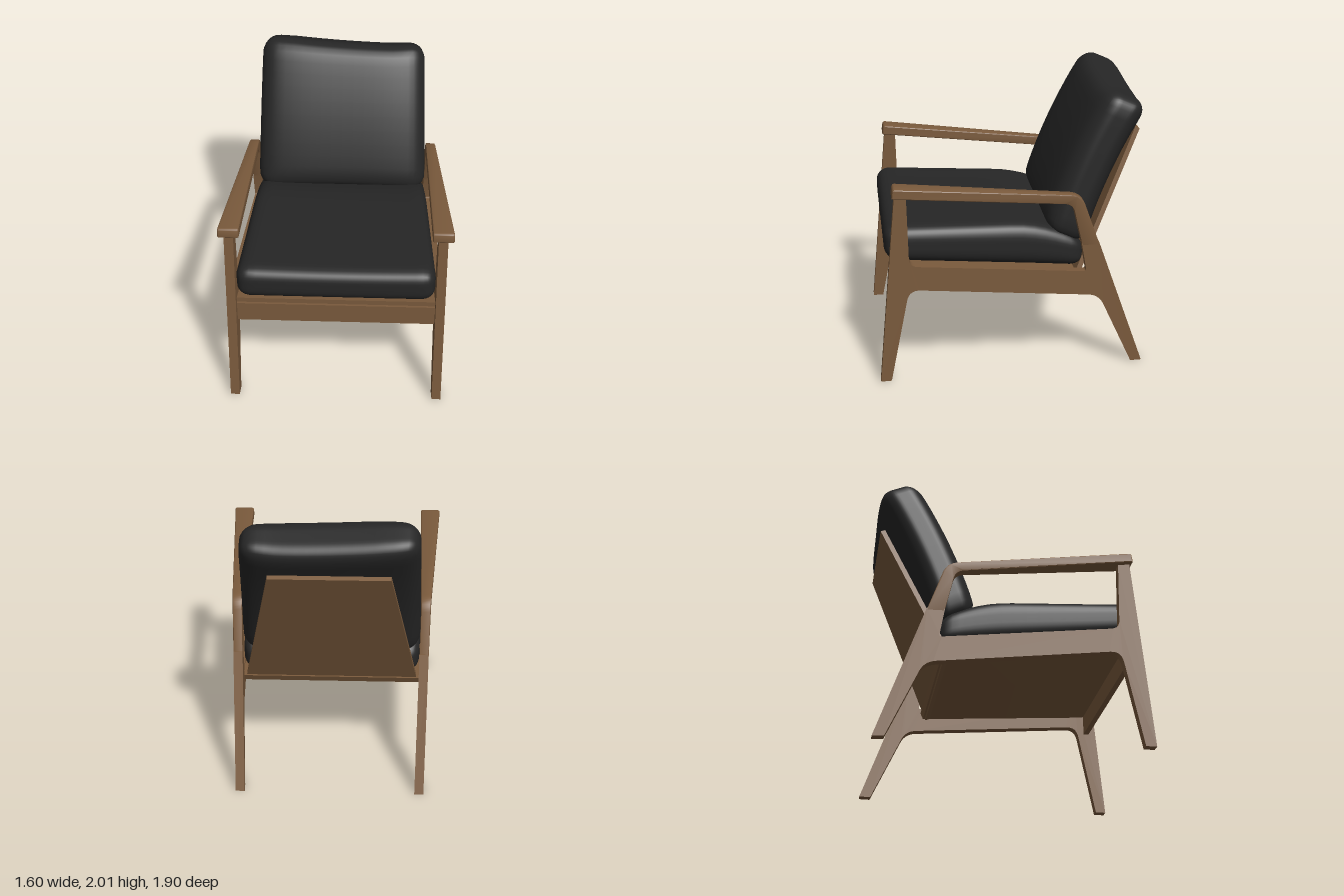
import * as THREE from 'three';
import { mergeVertices, toCreasedNormals } from 'three/addons/utils/BufferGeometryUtils.js';

const { clamp, lerp } = THREE.MathUtils;

// Side frames converge towards the back: centre line of the frame at depth z
const frameX = (z) => 0.685 + 0.051 * z;
const HALF = 0.0325;

// Closed shape from [z, y, cornerRadius] points
function roundedShape(points) {
  const shape = new THREE.Shape();
  const n = points.length;
  points.forEach(([z, y, r = 0], i) => {
    const p = new THREE.Vector2(z, y);
    const prev = points[(i + n - 1) % n], next = points[(i + 1) % n];
    const toward = (q) => new THREE.Vector2(q[0], q[1]).sub(p).setLength(r).add(p);
    const a = r ? toward(prev) : p, b = r ? toward(next) : p;
    if (i === 0) shape.moveTo(a.x, a.y); else shape.lineTo(a.x, a.y);
    if (r) shape.quadraticCurveTo(p.x, p.y, b.x, b.y);
  });
  shape.closePath();
  return shape;
}

// Side profile spread across x, with centre and half width given by depth z
function sweepAcross(points, centre, half, bevel = 0) {
  const geo = new THREE.ExtrudeGeometry(roundedShape(points), {
    depth: 1 - 0.2 * (bevel > 0), steps: 1, curveSegments: 8,
    bevelEnabled: bevel > 0, bevelSize: bevel, bevelOffset: -bevel, bevelThickness: 0.1, bevelSegments: 2,
  });
  if (bevel > 0) geo.translate(0, 0, 0.1);
  const pos = geo.attributes.position;
  for (let i = 0; i < pos.count; i++) {
    const z = pos.getX(i), y = pos.getY(i), t = pos.getZ(i);
    pos.setXYZ(i, centre(z) - (2 * t - 1) * half(z), y, z);
  }
  return toCreasedNormals(geo, 0.6);
}

// Soft rounded block, then bent by a rule working on the point p and its -1..1 position
function cushion(hx, hy, hz, r, bend) {
  const geo = new THREE.BoxGeometry(2, 2, 2, 24, 16, 24);
  geo.deleteAttribute('uv');
  geo.deleteAttribute('normal');
  const merged = mergeVertices(geo, 1e-4);
  const pos = merged.attributes.position;
  const h = new THREE.Vector3(hx, hy, hz);
  const inner = h.clone().subScalar(r);
  const p = new THREE.Vector3(), core = new THREE.Vector3();
  for (let i = 0; i < pos.count; i++) {
    p.fromBufferAttribute(pos, i);
    p.set(...p.toArray().map((v) => Math.sin(v * Math.PI / 2))).multiply(h);
    core.copy(p).clamp(inner.clone().negate(), inner);
    p.sub(core).setLength(r).add(core);
    bend(p, p.clone().divide(h));
    pos.setXYZ(i, p.x, p.y, p.z);
  }
  merged.computeVertexNormals();
  return merged;
}

export function createModel() {
  const group = new THREE.Group();
  const wood = new THREE.MeshStandardMaterial({ color: 0x7a5a3c });
  wood.name = 'walnut wood';
  const fabric = new THREE.MeshStandardMaterial({ color: 0x262626 });
  fabric.name = 'black fabric';
  const add = (name, geo, mat) => {
    const mesh = new THREE.Mesh(geo, mat);
    mesh.name = name;
    group.add(mesh);
    return mesh;
  };

  // Legs with side rail, and armrest flowing into the rear post
  const legs = [
    [0.965, 0], [0.835, 1.385], [0.755, 1.375], [0.745, 0.865, 0.06], [-0.505, 0.735, 0.02],
    [-0.467, 0.95], [-0.592, 0.95], [-0.93, 0], [-0.85, 0], [-0.6, 0.545, 0.08],
    [0.75, 0.69, 0.08], [0.89, 0],
  ];
  const arm = [
    [0.855, 1.375, 0.01], [0.845, 1.445, 0.02], [-0.46, 1.31, 0.08], [-0.596, 0.93],
    [-0.471, 0.93], [-0.398, 1.245, 0.06],
  ];
  const armHalf = (z) => lerp(HALF, 0.0725, clamp((z + 0.5) / 1.34, 0, 1));
  for (const [side, label] of [[1, 'left'], [-1, 'right']]) {
    const centre = (z) => side * frameX(z);
    add(label + 'LegFrame', sweepAcross(legs, centre, () => HALF), wood);
    add(label + 'Armrest', sweepAcross(arm, centre, armHalf, 0.008), wood);
  }

  // Front apron and sloping seat board between the frames
  const between = (z) => frameX(z) - HALF + 0.003;
  const middle = () => 0;
  add('frontApron', sweepAcross([[0.85, 0.635], [0.85, 0.788], [0.81, 0.788], [0.81, 0.635]], middle, between), wood);
  add('seatBoard', sweepAcross([[0.845, 0.798], [0.845, 0.835], [-0.49, 0.7], [-0.47, 0.655], [0.8, 0.775]], middle, between), wood);

  // Tapered, reclined back panel
  const panel = new THREE.BoxGeometry(2, 1, 0.035);
  const pp = panel.attributes.position;
  for (let i = 0; i < pp.count; i++) {
    const t = pp.getY(i) + 0.5;
    pp.setXYZ(i, pp.getX(i) * lerp(0.62, 0.41, t), lerp(0.65, 1.69, t) + pp.getZ(i) * 0.4,
      lerp(-0.435, -0.9, t) + pp.getZ(i) * 0.91);
  }
  panel.computeVertexNormals();
  add('backPanel', panel, wood);

  // Seat cushion: follows the frame taper, slopes and sinks towards the back
  add('seatCushion', cushion(0.69, 0.14, 0.705, 0.1, (p, q) => {
    p.z += 0.205;
    p.x = q.x * (frameX(p.z) - 0.036);
    const sink = clamp(-p.z / 0.5, 0, 1);
    const top = 1.088 + 0.04 * (p.z - 0.2) - 0.14 * sink * sink + 0.012 * q.x * q.x;
    const bottom = 0.8 + 0.1 * (p.z - 0.2);
    p.y = lerp(bottom, top, (q.y + 1) / 2);
  }), fabric);

  // Back cushion: bowed forward, thinner at the sides, lower at one top corner
  const back = add('backCushion', cushion(0.615, 0.555, 0.178, 0.12, (p, q) => {
    p.z *= 1 - 0.25 * q.x ** 4;
    p.z += 0.04 * (1 - q.y * q.y);
    p.x *= 1 - 0.025 * q.y;
    p.y -= 0.04 * Math.max(0, q.y) * clamp((q.x + 0.6) / 1.2, 0, 1);
    p.y += 0.02 * q.y * q.x * q.x;
  }), fabric);
  back.rotation.x = -0.419;
  back.position.set(0, 1.465, -0.595);

  return group;
}
